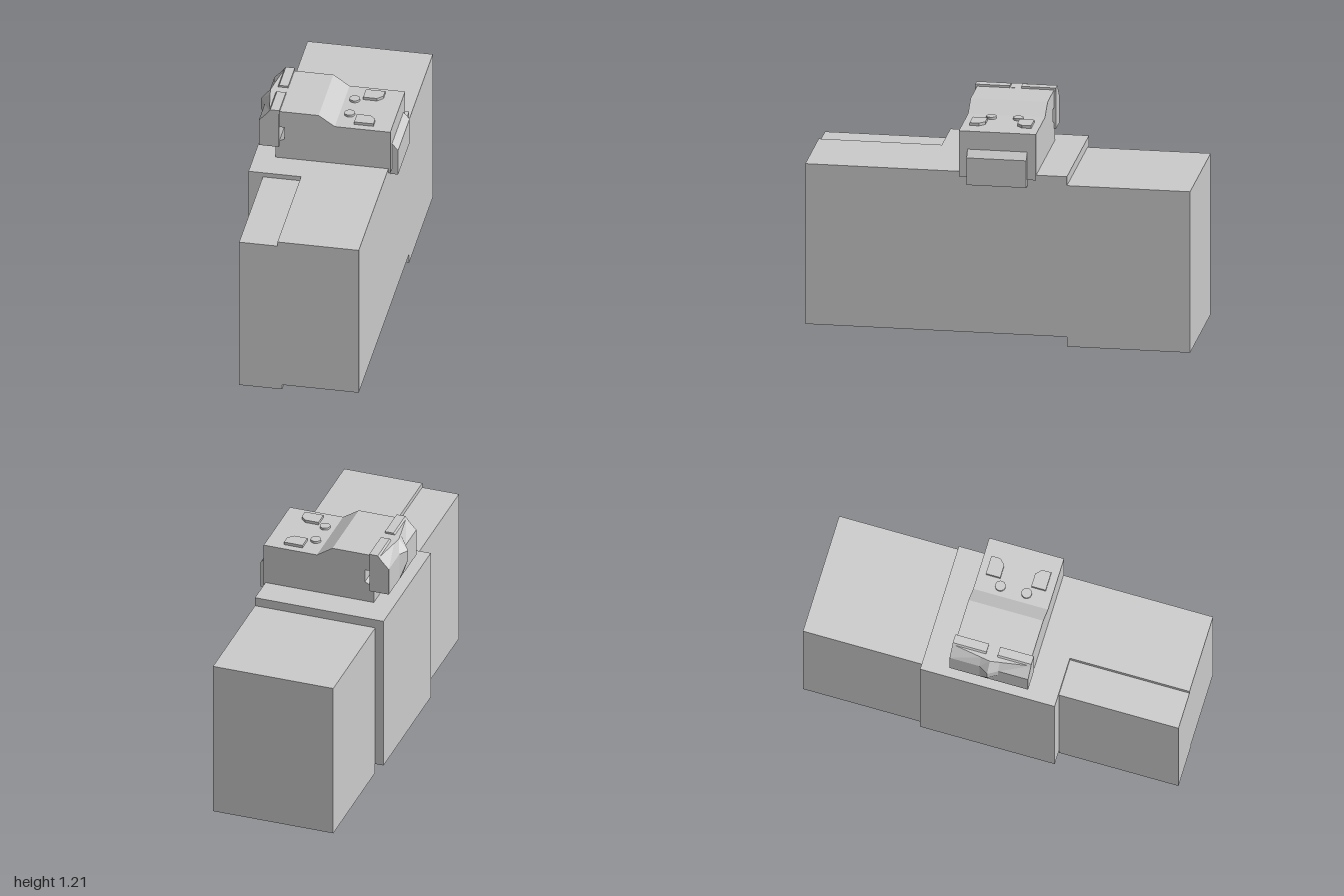
import * as THREE from 'three';

const material = new THREE.MeshStandardMaterial({ color: 0xcccccc, flatShading: true });

function add(parent, name, geometry) {
  const mesh = new THREE.Mesh(geometry, material);
  mesh.name = name;
  parent.add(mesh);
  return mesh;
}

// Box given by its low and high corners
function block(parent, name, lo, hi) {
  const size = hi.map((h, i) => h - lo[i]);
  const mesh = add(parent, name, new THREE.BoxGeometry(...size));
  mesh.position.set(...hi.map((h, i) => (h + lo[i]) / 2));
  return mesh;
}

// Outline in x,y pushed along z from z0 to z1
function prism(parent, name, points, z0, z1) {
  const shape = new THREE.Shape(points.map(([x, y]) => new THREE.Vector2(x, y)));
  const geometry = new THREE.ExtrudeGeometry(shape, { depth: z1 - z0, bevelEnabled: false });
  const mesh = add(parent, name, geometry);
  mesh.position.z = z0;
  return mesh;
}

// Faceted head: cross-sections in x,y lofted along z, with a pointed nose at z = 0
function headGeometry() {
  const section = (z, nose, ridge) => [
    [-0.24, 0.985, z], [-0.345, 0.985, z], [nose, 1.08, z],
    [nose, 1.135, z], [ridge, 1.195, z], [-0.24, 1.195, z],
  ];
  const rings = [
    section(-0.21, -0.345, -0.29), section(-0.05, -0.345, -0.317), section(0, -0.375, -0.325),
    section(0.05, -0.345, -0.317), section(0.21, -0.345, -0.29),
  ];
  const n = rings[0].length;
  const last = (rings.length - 1) * n;
  const index = [];
  for (let i = 0; i < rings.length - 1; i++) {
    for (let j = 0; j < n; j++) {
      const a = i * n + j, d = i * n + (j + 1) % n;
      index.push(a, a + n, d + n, a, d + n, d);
    }
  }
  for (let k = 1; k < n - 1; k++) {
    index.push(0, k, k + 1, last, last + k + 1, last + k);
  }
  const geometry = new THREE.BufferGeometry();
  geometry.setAttribute('position', new THREE.Float32BufferAttribute(rings.flat(2), 3));
  geometry.setIndex(index);
  const flat = geometry.toNonIndexed();
  flat.computeVertexNormals();
  return flat;
}

export function createModel() {
  const model = new THREE.Group();
  model.name = 'railMountedUnit';

  // Housing: three stepped sections
  const housing = new THREE.Group();
  housing.name = 'housing';
  model.add(housing);
  block(housing, 'rearSection', [-0.325, 0, -1], [0.33, 0.867, -0.36]);
  block(housing, 'middleSection', [-0.37, 0.052, -0.36], [0.33, 0.915, 0.36]);
  prism(housing, 'frontSection', [
    [-0.295, 0.025], [-0.07, 0.025], [-0.07, 0.052], [0.33, 0.052],
    [0.33, 0.915], [-0.095, 0.915], [-0.095, 0.89], [-0.295, 0.89],
  ], 0.36, 1);

  // Control unit on top, with an arm reaching to the head
  const control = new THREE.Group();
  control.name = 'controlUnit';
  model.add(control);
  prism(control, 'controlBody', [
    [-0.26, 0.89], [0.34, 0.89], [0.34, 1.137], [0.05, 1.137], [-0.035, 1.194],
    [-0.26, 1.194], [-0.26, 1.1], [-0.212, 1.1], [-0.212, 1.03], [-0.26, 1.005],
  ], -0.2, 0.2);
  prism(control, 'sideClip', [
    [0.33, 0.857], [0.372, 0.857], [0.372, 1.003], [0.34, 1.04], [0.33, 1.04],
  ], -0.155, 0.155);

  // Head
  add(control, 'head', headGeometry());

  for (const side of [-1, 1]) {
    const label = side > 0 ? 'front' : 'rear';

    // Thin caps on the head
    prism(control, label + 'HeadCap', [
      [-0.3, 1.185], [-0.238, 1.185], [-0.238, 1.205], [-0.285, 1.205],
    ], side > 0 ? 0.03 : -0.21, side > 0 ? 0.21 : -0.03);

    // Round buttons
    const button = add(control, label + 'RoundButton',
      new THREE.CylinderGeometry(0.027, 0.027, 0.02, 24));
    button.position.set(0.102, 1.139, side * 0.07);

    // Keys with one clipped corner
    const outline = [[0.143, 0.083], [0.215, 0.083], [0.244, 0.112], [0.244, 0.16], [0.143, 0.16]];
    const shape = new THREE.Shape(outline.map(([x, z]) => new THREE.Vector2(x, -side * z)));
    const key = add(control, label + 'Key',
      new THREE.ExtrudeGeometry(shape, { depth: 0.022, bevelEnabled: false }));
    key.rotation.x = -Math.PI / 2;
    key.position.y = 1.13;
  }

  return model;
}
